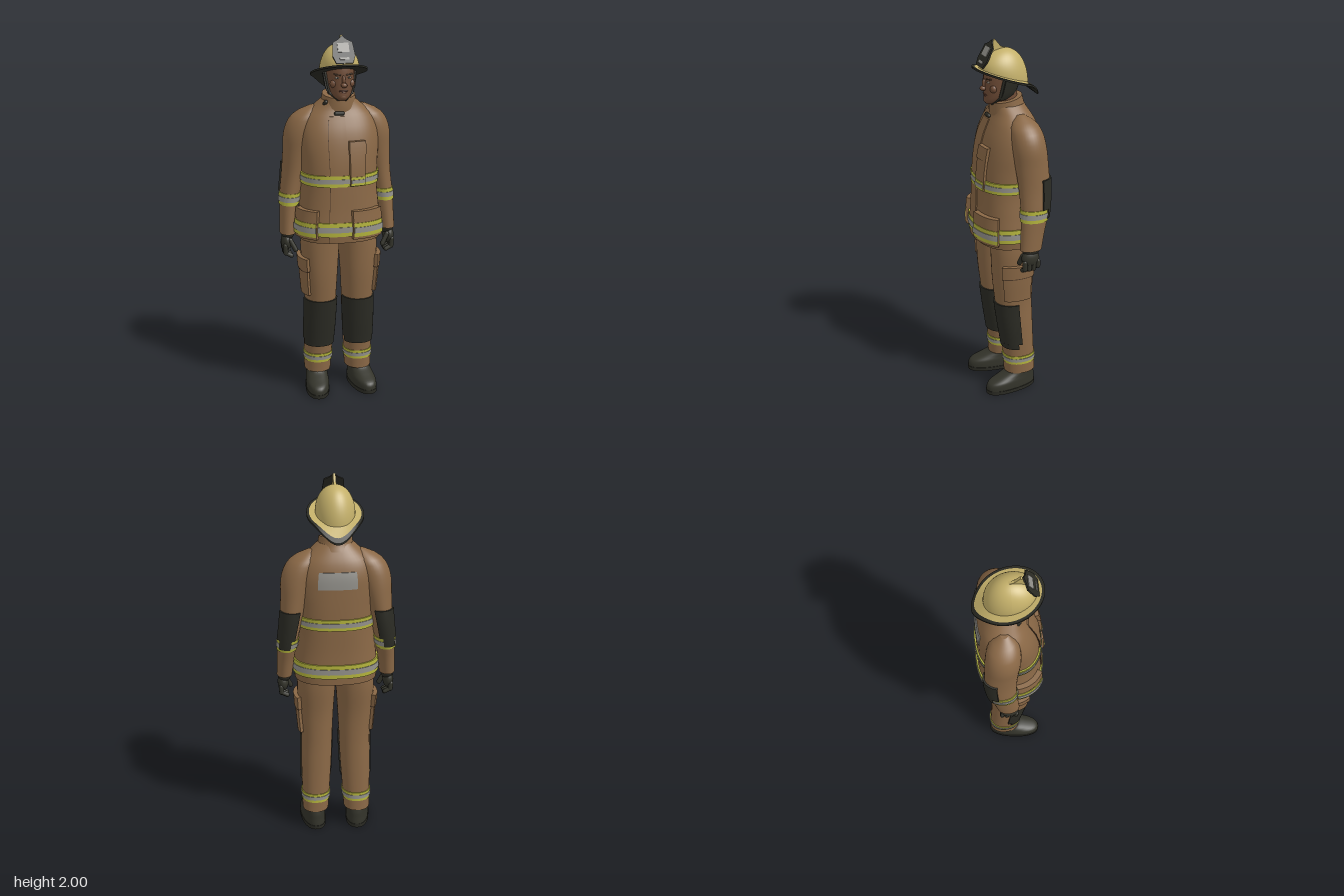
import * as THREE from 'three';
import { toCreasedNormals } from 'three/addons/utils/BufferGeometryUtils.js';

const paint = (name, color) => new THREE.MeshStandardMaterial({ name, color });
const PI = Math.PI;

// Grid of points fn(i, j); wrap joins the last column to the first
function grid(fn, nu, nv, wrap) {
  const cols = wrap ? nu : nu + 1, pos = [], idx = [];
  for (let j = 0; j <= nv; j++) for (let i = 0; i < cols; i++) pos.push(...fn(i, j));
  for (let j = 0; j < nv; j++) for (let i = 0; i < nu; i++) {
    const a = j * cols + i, b = j * cols + (i + 1) % cols;
    idx.push(a, b, b + cols, a, b + cols, a + cols);
  }
  const g = new THREE.BufferGeometry();
  g.setAttribute('position', new THREE.Float32BufferAttribute(pos, 3));
  g.setIndex(idx);
  g.computeVertexNormals();
  return g;
}

// Smooth body surface through rows [y, cx, cz, rx, rz], lowest first; angle 0 faces front
function surface(rows, s = 1, n = 2) {
  const slope = (i, k) => {
    const a = rows[Math.max(i - 1, 0)], b = rows[Math.min(i + 1, rows.length - 1)];
    return (b[k] - a[k]) / (b[0] - a[0]);
  };
  const pw = v => Math.sign(v) * Math.abs(v) ** (2 / n);
  const at = (a, y, off = 0, scale = 1) => {
    let i = 0;
    while (i < rows.length - 2 && y > rows[i + 1][0]) i++;
    const p = rows[i], q = rows[i + 1], h = q[0] - p[0], t = (y - p[0]) / h, t2 = t * t, t3 = t2 * t;
    const v = k => (2 * t3 - 3 * t2 + 1) * p[k] + (t3 - 2 * t2 + t) * h * slope(i, k)
      + (3 * t2 - 2 * t3) * q[k] + (t3 - t2) * h * slope(i + 1, k);
    return [s * v(1) + (v(3) + off) * scale * pw(Math.sin(a)), y, v(2) + (v(4) + off) * scale * pw(Math.cos(a))];
  };
  return { at, s, y0: rows[0][0], y1: rows[rows.length - 1][0] };
}

// Closed body with flat caps
function loft(sf, off = 0, y0 = sf.y0, y1 = sf.y1, nv = 28, nu = 36) {
  return grid((i, j) => {
    const t = Math.min(Math.max(j - 2, 0), nv) / nv;
    return sf.at(i / nu * 2 * PI, y0 + (y1 - y0) * t, off, j === 0 || j === nv + 4 ? 0 : 1);
  }, nu, nv + 4, true);
}

// Raised panel following a surface, with side walls; mirrored along with it
function panel(sf, y0, y1, a0, a1, off, nu = 12, nv = 8) {
  if (sf.s < 0) [a0, a1] = [-a1, -a0];
  const g = grid((i, j) => {
    const edge = i === 0 || j === 0 || i === nu + 2 || j === nv + 2;
    const u = Math.min(Math.max(i - 1, 0), nu) / nu, v = Math.min(Math.max(j - 1, 0), nv) / nv;
    return sf.at(a0 + (a1 - a0) * u, y0 + (y1 - y0) * v, edge ? -0.003 : off);
  }, nu + 2, nv + 2, false);
  return toCreasedNormals(g, 0.8);
}

export function createModel() {
  const root = new THREE.Group();
  root.name = 'firefighter';
  const tan = paint('tan cloth', 0x8a6846), black = paint('black rubber', 0x2b2b24);
  const yellow = paint('helmet yellow', 0xc4b06a), skin = paint('skin', 0x6f4c36);
  const silver = paint('reflective silver', 0x92908a), lime = paint('reflective lime', 0xb3b33c);
  const charcoal = paint('charcoal', 0x33332a), white = paint('eye white', 0xa89c8c);
  const lips = paint('lips', 0x5a372b), seam = paint('dark seam', 0x4f3a28);

  const add = (name, geo, mat) => {
    const m = new THREE.Mesh(geo, mat);
    m.name = name;
    root.add(m);
    return m;
  };
  const ball = (name, mat, x, y, z, rx, ry, rz) =>
    add(name, new THREE.SphereGeometry(1, 20, 14).scale(rx, ry, rz).translate(x, y, z), mat);
  const rod = (name, mat, a, b, r) => {
    const p = new THREE.Vector3(...a), d = new THREE.Vector3(...b).sub(p);
    const m = add(name, new THREE.CapsuleGeometry(r, d.length(), 4, 10), mat);
    m.position.copy(p).addScaledVector(d, 0.5);
    m.quaternion.setFromUnitVectors(new THREE.Vector3(0, 1, 0), d.normalize());
  };
  const stripe = (name, sf, y0, y1, a0 = -PI, a1 = PI, off = 0) => {
    const h = (y1 - y0) * 0.3;
    add(name + 'Lime', panel(sf, y0, y1, a0, a1, off + 0.004, 40, 3), lime);
    add(name + 'Silver', panel(sf, y0 + h, y1 - h, a0, a1, off + 0.007, 40, 3), silver);
  };

  // Jacket body
  const torso = surface([
    [0.905, 0, -0.012, 0.222, 0.172], [0.97, 0, -0.01, 0.228, 0.175], [1.08, 0, -0.012, 0.216, 0.17],
    [1.2, 0, -0.015, 0.205, 0.168], [1.32, 0, -0.018, 0.208, 0.165], [1.42, 0, -0.024, 0.215, 0.157],
    [1.5, 0, -0.032, 0.21, 0.145], [1.57, 0, -0.037, 0.185, 0.121], [1.62, 0, -0.035, 0.135, 0.096],
    [1.66, 0, -0.025, 0.09, 0.08]], 1, 2.4);
  add('jacket', loft(torso, 0, torso.y0, torso.y1, 40, 48), tan);
  add('jacketFlap', panel(torso, 0.91, 1.58, -0.32, 0.03, 0.006, 5, 24), tan);
  add('flapSeam', panel(torso, 0.91, 1.56, -0.335, -0.32, 0.005, 1, 24), seam);
  stripe('chestStripe', torso, 1.215, 1.275, -PI, PI, 0.004);
  stripe('hemStripe', torso, 0.945, 1.02, -PI, PI, 0.004);
  add('chestPocket', panel(torso, 1.22, 1.4, 0.07, 0.42, 0.018), tan);
  add('chestPocketFlap', panel(torso, 1.385, 1.455, 0.06, 0.43, 0.022), tan);
  stripe('chestPocketStripe', torso, 1.222, 1.268, 0.08, 0.41, 0.017);
  for (const [side, a0, a1] of [['left', 0.1, 0.95], ['right', -1.5, -0.62]]) {
    add(side + 'HipPocket', panel(torso, 0.93, 1.07, a0, a1, 0.024), tan);
    add(side + 'HipPocketFlap', panel(torso, 1.03, 1.085, a0, a1, 0.027), tan);
    stripe(side + 'HipPocketStripe', torso, 0.945, 1.02, a0 + 0.01, a1 - 0.01, 0.023);
  }
  add('backPatch', panel(torso, 1.44, 1.53, PI - 0.42, PI + 0.42, 0.005), silver);

  // Collar, higher at the back
  const collar = loft(surface([[1.6, 0, -0.03, 0.115, 0.1], [1.64, 0, -0.02, 0.095, 0.092], [1.685, 0, -0.015, 0.088, 0.086]]));
  const cp = collar.attributes.position;
  for (let i = 0; i < cp.count; i++) cp.setY(i, cp.getY(i) - 0.2 * cp.getZ(i));
  collar.computeVertexNormals();
  add('collar', collar, tan);
  rod('collarClasp', black, [-0.035, 1.595, 0.078], [0, 1.595, 0.08], 0.011);
  rod('collarTab', black, [-0.088, 1.63, 0.02], [-0.08, 1.65, 0.035], 0.011);

  for (const s of [1, -1]) {
    const side = s > 0 ? 'left' : 'right';

    // Sleeves
    const arm = surface([
      [0.925, 0.28, -0.042, 0.042, 0.06], [1.02, 0.273, -0.055, 0.046, 0.066], [1.12, 0.263, -0.07, 0.053, 0.076],
      [1.25, 0.242, -0.076, 0.06, 0.085], [1.38, 0.222, -0.068, 0.073, 0.09], [1.47, 0.206, -0.06, 0.086, 0.092],
      [1.54, 0.184, -0.055, 0.086, 0.085], [1.59, 0.158, -0.05, 0.068, 0.066], [1.625, 0.13, -0.045, 0.02, 0.02]], s);
    add(side + 'Sleeve', loft(arm), tan);
    stripe(side + 'SleeveStripe', arm, 1.085, 1.15);
    add(side + 'ElbowPatch', panel(arm, 1.15, 1.31, 1.85, 3.7, 0.009), black);
    add(side + 'ElbowPatchTip', panel(arm, 1.1, 1.15, 2.3, 3.4, 0.009), black);

    // Gloves
    ball(side + 'GloveCuff', black, s * 0.28, 0.925, -0.042, 0.036, 0.04, 0.05);
    ball(side + 'Palm', charcoal, s * 0.288, 0.878, -0.037, 0.03, 0.05, 0.05);
    for (let k = 0; k < 4; k++) {
      const z = 0.0 - k * 0.025, drop = k === 3 ? 0.012 : 0;
      rod(side + 'Finger', charcoal, [s * 0.3, 0.86, z], [s * 0.297, 0.818 + drop, z - 0.002], 0.0135);
      rod(side + 'FingerTip', charcoal, [s * 0.297, 0.818 + drop, z - 0.002], [s * 0.267, 0.802 + drop, z], 0.012);
    }
    rod(side + 'Thumb', charcoal, [s * 0.272, 0.89, 0], [s * 0.245, 0.838, 0.008], 0.0135);

    // Trousers
    const leg = surface([
      [0.11, 0.117, -0.051, 0.073, 0.088], [0.25, 0.113, -0.044, 0.078, 0.088], [0.4, 0.109, -0.03, 0.084, 0.096],
      [0.55, 0.105, -0.018, 0.086, 0.104], [0.7, 0.107, -0.012, 0.096, 0.114], [0.85, 0.106, -0.018, 0.105, 0.126],
      [0.95, 0.1, -0.02, 0.104, 0.13]], s, 2.2);
    add(side + 'TrouserLeg', loft(leg), tan);
    stripe(side + 'AnkleStripe', leg, 0.17, 0.22);
    add(side + 'KneePad', panel(leg, 0.3, 0.55, -1.4, 1.55, 0.008, 18), black);
    add(side + 'KneePadTip', panel(leg, 0.27, 0.3, -1.2, 1.35, 0.008, 18), black);
    add(side + 'CargoPocket', panel(leg, 0.585, 0.76, 0.85, 2.1, 0.018), tan);
    add(side + 'CargoFlap', panel(leg, 0.73, 0.8, 0.8, 2.15, 0.023), tan);
    add(side + 'CargoSeam', panel(leg, 0.724, 0.731, 0.8, 2.15, 0.021), seam);

    // Boots, toes turned out a little
    const boot = surface([
      [0, 0, 0.055, 0.058, 0.145], [0.02, 0, 0.055, 0.064, 0.15], [0.06, 0, 0.05, 0.064, 0.142],
      [0.085, 0, 0.022, 0.06, 0.112], [0.11, 0, -0.002, 0.058, 0.083], [0.16, 0, -0.005, 0.058, 0.072]], 1, 2.3);
    const sole = surface([[0, 0, 0.055, 0.066, 0.151], [0.022, 0, 0.055, 0.067, 0.152]], 1, 2.3);
    for (const m of [add(side + 'Boot', loft(boot), charcoal), add(side + 'Sole', loft(sole, 0, 0, 0.022, 2), black)]) {
      m.position.set(s * 0.122, 0, -0.046);
      m.rotation.y = s * 0.13;
    }
  }

  // Head and neck
  add('neck', new THREE.CylinderGeometry(0.058, 0.062, 0.14, 24).translate(0, 1.69, -0.015), skin);
  const head = surface([
    [1.665, 0, 0.066, 0.022, 0.028], [1.68, 0, 0.052, 0.042, 0.053], [1.71, 0, 0.03, 0.06, 0.075],
    [1.76, 0, 0.018, 0.071, 0.086], [1.82, 0, 0.008, 0.076, 0.094], [1.89, 0, 0, 0.07, 0.09]], 1, 2.1);
  add('head', loft(head), skin);
  add('earFlaps', panel(head, 1.69, 1.86, 1.5, 2 * PI - 1.5, 0.015, 24), black);
  ball('noseBridge', skin, 0, 1.772, 0.104, 0.01, 0.026, 0.013);
  ball('nose', skin, 0, 1.748, 0.112, 0.017, 0.013, 0.017);
  ball('upperLip', lips, 0, 1.716, 0.1, 0.025, 0.006, 0.008);
  ball('lowerLip', lips, 0, 1.706, 0.097, 0.021, 0.006, 0.009);
  ball('chin', skin, 0, 1.684, 0.089, 0.024, 0.017, 0.018);
  for (const s of [1, -1]) {
    ball('eye', white, s * 0.03, 1.785, 0.094, 0.013, 0.006, 0.006);
    ball('iris', black, s * 0.03, 1.785, 0.099, 0.005, 0.005, 0.003);
    rod('eyebrow', seam, [s * 0.016, 1.8, 0.1], [s * 0.047, 1.803, 0.087], 0.004);
    ball('cheek', skin, s * 0.045, 1.752, 0.072, 0.022, 0.022, 0.018);
    rod('chinStrap', black, [s * 0.079, 1.8, 0.025], [s * 0.062, 1.7, 0.042], 0.007);
    rod('chinStrap', black, [s * 0.062, 1.7, 0.042], [s * 0.02, 1.665, 0.068], 0.007);
  }

  // Helmet brim, sloping down to a pointed tail
  const brimY = z => 1.807 + 0.33 * z - 6 * Math.min(0, z + 0.1) ** 2;
  const brim = (f0, f1, d0, d1) => grid((i, j) => {
    const a = i / 48 * 2 * PI, f = j ? f1 : f0, back = Math.max(0, -Math.cos(a));
    const z = -0.008 + Math.cos(a) * (0.171 + 0.016 * back ** 6) * f;
    return [0.15 * Math.sin(a) * f, brimY(z) + (j ? d1 : d0), z];
  }, 48, 1, true);
  add('brimTop', brim(0.91, 0.6, 0.004, 0.006), yellow);
  add('brimRim', brim(1, 0.91, 0.003, 0.004), black);
  add('brimEdge', brim(1, 1, -0.007, 0.003), black);
  add('brimUnderside', brim(0.35, 1, -0.007, -0.007), black);

  // Helmet dome, leaning with the brim
  const dome = new THREE.SphereGeometry(1, 40, 16, 0, 2 * PI, 0, PI / 2);
  const dp = dome.attributes.position;
  for (let i = 0; i < dp.count; i++) {
    const h = dp.getY(i), z = dp.getZ(i) * 0.132 - 0.003;
    dp.setXYZ(i, dp.getX(i) * 0.105, 1.807 + 0.33 * z * (1 - h) + 0.145 * h, z);
  }
  dome.computeVertexNormals();
  add('helmetDome', dome, yellow);

  // Crest fin, drawn as (z, y) and turned to run front to back
  const fin = new THREE.Shape([[-0.03, 1.944], [0.015, 1.962], [0.045, 2.0], [0.062, 1.985], [0.115, 1.88], [0.05, 1.88]]
    .map(p => new THREE.Vector2(...p)));
  add('crest', new THREE.ExtrudeGeometry(fin, { depth: 0.014, bevelEnabled: false })
    .rotateY(-PI / 2).translate(0.007, 0, 0), yellow);

  // Front shield with pale panels, leaning back
  const shield = new THREE.Group();
  shield.name = 'shield';
  const outline = new THREE.Shape([[-0.044, 0], [0.044, 0], [0.06, 0.04], [0.052, 0.115], [0.02, 0.132], [0, 0.152],
    [-0.02, 0.132], [-0.052, 0.115], [-0.06, 0.04]].map(p => new THREE.Vector2(...p)));
  shield.add(new THREE.Mesh(new THREE.ExtrudeGeometry(outline, { depth: 0.008, bevelEnabled: false }), black));
  for (const [y, w, h] of [[0.085, 0.06, 0.05], [0.025, 0.05, 0.012]])
    shield.add(new THREE.Mesh(new THREE.BoxGeometry(w, h, 0.004).translate(0, y, 0.009), silver));
  shield.children.forEach((m, i) => { m.name = i ? 'shieldPanel' : 'shieldPlate'; });
  shield.position.set(0, 1.862, 0.126);
  shield.rotation.x = -0.5;
  root.add(shield);

  return root;
}
